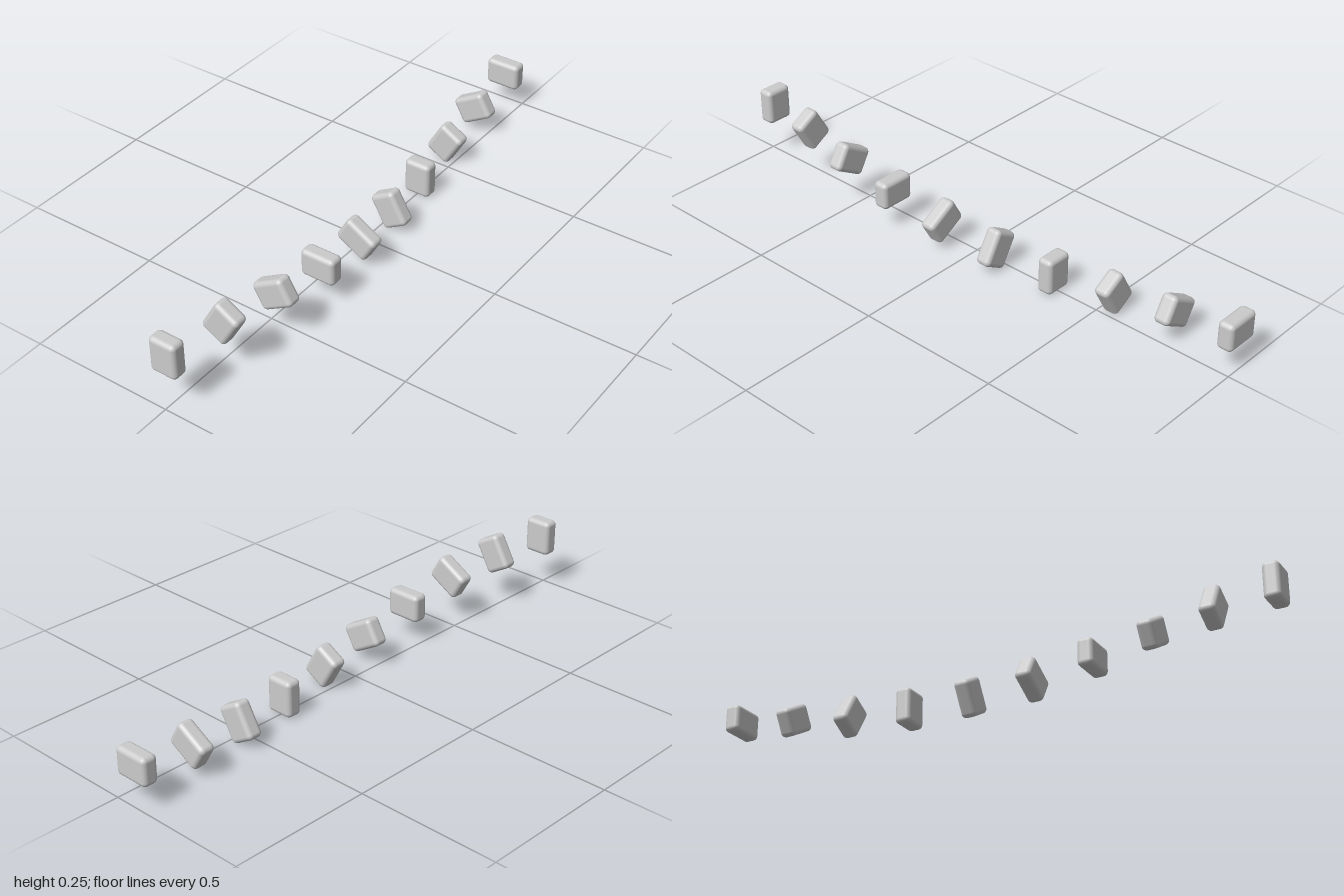
import * as THREE from 'three';
import { RoundedBoxGeometry } from 'three/addons/geometries/RoundedBoxGeometry.js';

const COUNT = 10;
const THICKNESS = 0.056, HEIGHT = 0.097, LENGTH = 0.126, RADIUS = 0.016;
const AXIS_Y = 0.128; // height of the shared spiral axis
const END_X = 1 - THICKNESS / 2;

export function createModel() {
  const model = new THREE.Group();
  model.name = 'spiralSteps';
  const material = new THREE.MeshStandardMaterial({ color: 0xcccccc });

  // one rounded block, its inner end on the axis and reaching backwards
  const block = new RoundedBoxGeometry(THICKNESS, HEIGHT, LENGTH, 4, RADIUS);
  block.translate(0, 0, -LENGTH / 2);

  // each block turns a further 30 degrees about the axis
  for (let i = 0; i < COUNT; i++) {
    const step = new THREE.Mesh(block, material);
    step.name = `step${i + 1}`;
    step.position.set(END_X - (i * 2 * END_X) / (COUNT - 1), AXIS_Y, 0);
    step.rotation.x = (-i * Math.PI) / 6;
    model.add(step);
  }
  return model;
}
